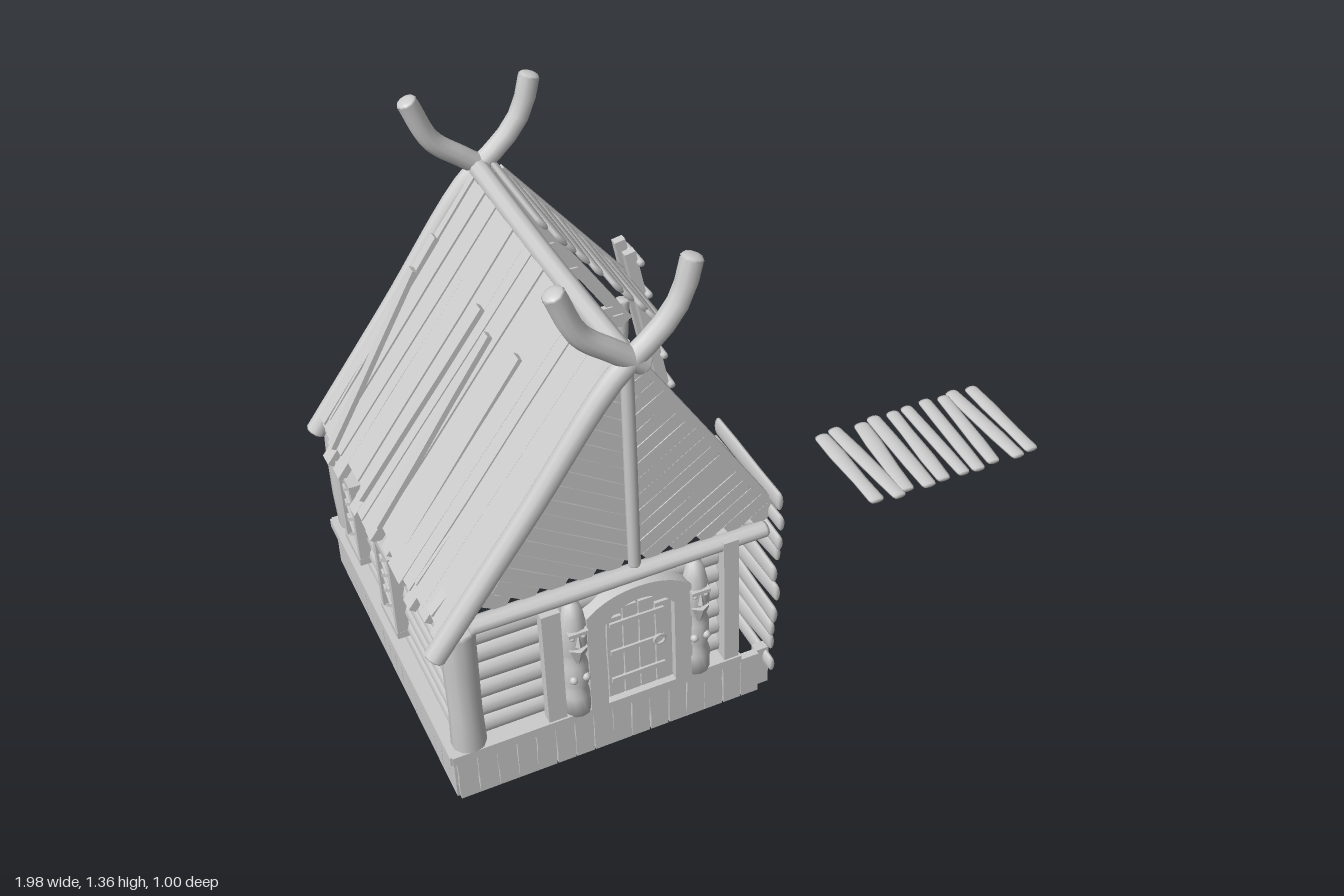
import * as THREE from 'three';

const CX = -0.465; // ridge line of the house

export function createModel() {
  const root = new THREE.Group();
  const smooth = new THREE.MeshStandardMaterial({ color: 0xcccccc });
  const flat = new THREE.MeshStandardMaterial({ color: 0xcccccc, flatShading: true });
  const V = (x, y, z) => new THREE.Vector3(x, y, z);
  let seed = 7;
  const rnd = () => ((seed = (seed * 16807) % 2147483647) / 2147483647);
  const jit = (a) => (rnd() - 0.5) * 2 * a;

  const group = (name) => {
    const g = new THREE.Group();
    g.name = name;
    root.add(g);
    return g;
  };
  const add = (g, name, geo, mat = flat) => {
    const m = new THREE.Mesh(geo, mat);
    m.name = name;
    g.add(m);
    return m;
  };
  // Lay a y-aligned mesh from a to b, its local z facing "out"
  const lay = (m, a, b, out) => {
    const y = b.clone().sub(a).normalize();
    const x = y.clone().cross(out).normalize();
    m.quaternion.setFromRotationMatrix(new THREE.Matrix4().makeBasis(x, y, x.clone().cross(y)));
    m.position.copy(a).add(b).multiplyScalar(0.5);
    return m;
  };
  // Sawn board with slightly uneven width
  const board = (g, name, a, b, w, t, out, wob = 0.08) => {
    const len = a.distanceTo(b);
    const geo = new THREE.BoxGeometry(w, len, t, 1, 3, 1);
    const p = geo.attributes.position;
    const k = [0, 1, 2, 3].map(() => [1 + jit(wob), 1 + jit(wob)]);
    for (let i = 0; i < p.count; i++) {
      const row = Math.round((p.getY(i) / len + 0.5) * 3);
      p.setX(i, p.getX(i) * k[row][p.getX(i) > 0 ? 0 : 1]);
    }
    return lay(add(g, name, geo), a, b, out);
  };
  // Rounded plank or log: elliptical section, gently swelling, softened ends
  const log = (g, name, a, b, w, t, out, wob = 0.06) => {
    const len = a.distanceTo(b);
    const pts = [new THREE.Vector2(0, -len / 2)];
    const e = Math.min(0.008, len / 8);
    pts.push(new THREE.Vector2(0.4, -len / 2), new THREE.Vector2(0.48, -len / 2 + e));
    for (const f of [-0.2, 0.2]) pts.push(new THREE.Vector2(0.5 * (1 + jit(wob)), len * f));
    pts.push(new THREE.Vector2(0.48, len / 2 - e), new THREE.Vector2(0.4, len / 2), new THREE.Vector2(0, len / 2));
    const m = lay(add(g, name, new THREE.LatheGeometry(pts, 10), smooth), a, b, out);
    m.scale.set(w, 1, t);
    return m;
  };
  const X = V(1, 0, 0), Y = V(0, 1, 0), Z = V(0, 0, 1);

  // Plank skirting around the foot of the house
  const skirt = group('skirting');
  const skirtRun = (a, b) => {
    const n = Math.round(a.distanceTo(b) / 0.05), step = b.clone().sub(a).divideScalar(n);
    const out = step.clone().cross(Y).normalize();
    for (let i = 0; i < n; i++) {
      const p = a.clone().addScaledVector(step, i + 0.5);
      board(skirt, 'skirtingBoard', p, p.clone().setY(0.125 + jit(0.006)), step.length() * 0.96, 0.02, out);
    }
  };
  skirtRun(V(-0.95, 0, 0.47), V(-0.15, 0, 0.47));
  skirtRun(V(-0.945, 0, -0.47), V(-0.945, 0, 0.47));
  skirtRun(V(-0.95, 0, -0.47), V(-0.6, 0, -0.47));
  for (const [x, z, h] of [[-0.1, -0.46, 0.1], [-0.065, -0.46, 0.18], [-0.13, 0.45, 0.12]])
    board(skirt, 'skirtingStump', V(x, 0, z), V(x, h, z), 0.035, 0.025, Z);

  // Sill beams and wall plates
  const frame = group('frame');
  board(frame, 'frontSill', V(-0.96, 0.135, 0.45), V(-0.2, 0.135, 0.45), 0.025, 0.07, Z, 0.03);
  board(frame, 'leftSill', V(-0.925, 0.135, -0.48), V(-0.925, 0.135, 0.48), 0.025, 0.08, X, 0.03);
  board(frame, 'backSill', V(-0.96, 0.135, -0.45), V(-0.6, 0.135, -0.45), 0.025, 0.07, Z, 0.03);
  board(frame, 'innerSill', V(-0.88, 0.18, -0.44), V(-0.88, 0.18, 0.44), 0.03, 0.02, X, 0.03);
  log(frame, 'frontPlate', V(-0.88, 0.515, 0.455), V(-0.12, 0.515, 0.455), 0.04, 0.05, Z);
  log(frame, 'backPlate', V(-0.9, 0.515, -0.455), V(-0.09, 0.515, -0.455), 0.045, 0.045, Z);
  log(frame, 'leftPlate', V(-0.9, 0.49, -0.46), V(-0.9, 0.49, 0.46), 0.05, 0.05, X);
  for (const z of [0.445, -0.445]) log(frame, 'cornerPost', V(-0.905, 0.14, z), V(-0.905, 0.51, z), 0.09, 0.09, Z, 0.12);
  board(frame, 'doorSidePost', V(-0.225, 0.14, 0.44), V(-0.225, 0.53, 0.44), 0.04, 0.08, Z, 0.03);
  board(frame, 'frontWallPost', V(-0.69, 0.14, 0.465), V(-0.69, 0.49, 0.465), 0.045, 0.03, Z);
  log(frame, 'backWallPost', V(-0.69, 0.13, -0.465), V(-0.69, 0.52, -0.465), 0.045, 0.04, Z);
  log(frame, 'backEndPost', V(-0.11, 0.37, -0.455), V(-0.09, 0.62, -0.455), 0.045, 0.04, Z);
  board(frame, 'backInnerPost', V(-0.29, 0.4, -0.43), V(-0.29, 0.72, -0.43), 0.04, 0.03, Z);

  // Log walls
  const walls = group('walls');
  for (let i = 0; i < 6; i++) {
    const y = 0.178 + i * 0.057;
    log(walls, 'frontLog', V(-0.9, y, 0.43), V(-0.24, y, 0.43), 0.06, 0.05, Z);
    log(walls, 'leftLog', V(-0.912, y, -0.43), V(-0.912, y, 0.43), 0.06, 0.05, X);
    log(walls, 'backLog', V(-0.9, y, -0.435), V(-0.68 + jit(0.02), y, -0.435), 0.06, 0.05, Z);
  }
  // Broken back boards left hanging
  for (const [x0, x1, y, w] of [[-0.67, -0.08, 0.475, 0.035], [-0.67, -0.12, 0.42, 0.03], [-0.64, -0.3, 0.36, 0.02],
    [-0.25, -0.08, 0.375, 0.02], [-0.58, -0.14, 0.285, 0.016], [-0.22, -0.15, 0.23, 0.012], [-0.67, -0.45, 0.22, 0.014]])
    board(walls, 'brokenBoard', V(x0, y, -0.44), V(x1, y + jit(0.012), -0.44), w, 0.014, Z, 0.4);

  // Lattice windows in the left wall
  for (const z of [-0.25, 0.05]) {
    const w = group('window');
    w.position.set(-0.94, 0.345, z);
    w.rotation.y = -Math.PI / 2;
    add(w, 'windowPanel', new THREE.BoxGeometry(0.1, 0.23, 0.012));
    add(w, 'windowInnerPanel', new THREE.BoxGeometry(0.105, 0.24, 0.012)).position.z = -0.06;
    for (const s of [-1, 1]) {
      board(w, 'windowJamb', V(s * 0.055, -0.13, 0.006), V(s * 0.055, 0.13, 0.006), 0.02, 0.03, Z);
      board(w, 'windowRail', V(-0.065, s * 0.12, 0.008), V(0.065, s * 0.12, 0.008), 0.02, 0.03, Z);
      for (let i = 0; i < 4; i++) {
        const y = -0.075 + i * 0.05;
        board(w, 'latticeBar', V(-0.045, y - s * 0.035, 0.012), V(0.045, y + s * 0.035, 0.012), 0.007, 0.008, Z);
      }
    }
  }

  // Arched door with straps, ring and carved pillars
  const door = group('door');
  const arch = (w, h, top) => {
    const s = new THREE.Shape();
    s.moveTo(-w, 0);
    s.lineTo(w, 0);
    s.lineTo(w, h);
    s.quadraticCurveTo(w * 0.6, top, 0, top);
    s.quadraticCurveTo(-w * 0.6, top, -w, h);
    return s;
  };
  const surround = arch(0.135, 0.3, 0.35);
  surround.holes.push(new THREE.Path(arch(0.09, 0.26, 0.31).getPoints(8)));
  const place = (m, z) => m.position.set(CX - 0.005, 0.145, z);
  place(add(door, 'doorFrame', new THREE.ExtrudeGeometry(surround, { depth: 0.04, bevelEnabled: false })), 0.445);
  place(add(door, 'doorLeaf', new THREE.ExtrudeGeometry(arch(0.09, 0.26, 0.31), { depth: 0.02, bevelEnabled: false })), 0.445);
  for (let i = 0; i < 4; i++) {
    const x = CX - 0.068 + i * 0.042, top = i % 3 ? 0.435 : 0.41;
    board(door, 'doorBoard', V(x, 0.155, 0.467), V(x, top, 0.467), 0.037, 0.012, Z);
  }
  for (const y of [0.21, 0.3, 0.39]) board(door, 'doorStrap', V(CX - 0.08, y, 0.475), V(CX + 0.06, y, 0.475), 0.014, 0.008, Z);
  add(door, 'doorRing', new THREE.TorusGeometry(0.014, 0.004, 6, 14), smooth).position.set(CX + 0.045, 0.3, 0.482);
  const prof = [[0, 0], [0.034, 0], [0.036, 0.06], [0.028, 0.08], [0.034, 0.1], [0.034, 0.16], [0.024, 0.18],
    [0.035, 0.2], [0.036, 0.27], [0.028, 0.31], [0.018, 0.345], [0, 0.352]].map((p) => new THREE.Vector2(...p));
  for (const x of [-0.632, -0.315]) {
    const p = group('carvedPillar');
    p.position.set(x, 0.145, 0.46);
    add(p, 'pillarBody', new THREE.LatheGeometry(prof, 12), smooth);
    add(p, 'pillarBrow', new THREE.BoxGeometry(0.05, 0.01, 0.02)).position.set(0, 0.275, 0.03);
    add(p, 'pillarNose', new THREE.ConeGeometry(0.009, 0.04, 4)).position.set(0, 0.255, 0.036);
    add(p, 'pillarBeard', new THREE.ConeGeometry(0.026, 0.07, 6).rotateX(Math.PI)).position.set(0, 0.19, 0.022);
    for (const s of [-1, 1]) {
      add(p, 'pillarEye', new THREE.SphereGeometry(0.007, 8, 6), smooth).position.set(s * 0.014, 0.262, 0.032);
      add(p, 'pillarHand', new THREE.SphereGeometry(0.011, 8, 6), smooth).position.set(s * 0.016, 0.125, 0.03);
    }
  }

  // Front gable: herringbone boards rising from a middle post
  const gable = group('frontGable');
  for (const s of [-1, 1]) {
    for (let y0 = 0.33; y0 < 1.08; y0 += 0.046) {
      const u0 = Math.max(0, (0.535 - y0) / 0.65), u1 = (1.13 - y0) / 2.2 + jit(0.006);
      if (u1 - u0 < 0.01) continue;
      board(gable, 'gableBoard', V(CX + s * u0, y0 + 0.65 * u0, 0.435), V(CX + s * u1, y0 + 0.65 * u1, 0.435), 0.037, 0.022, Z, 0.06);
    }
    board(gable, 'gableRakeBoard', V(CX + s * 0.02, 1.11, 0.43), V(CX + s * 0.375, 0.55, 0.43), 0.03, 0.03, Z);
  }
  log(gable, 'gableMiddlePost', V(CX, 0.53, 0.452), V(CX, 1.11, 0.452), 0.032, 0.03, Z);

  // Back gable: level boards with gaps on upright posts
  const back = group('backGable');
  for (let y = 0.565; y < 1.08; y += 0.047) {
    const u = (1.13 - y) / 1.5 - 0.01;
    const broken = y > 0.6 && rnd() > 0.6 ? 0.12 * rnd() : 0;
    board(back, 'backGableBoard', V(CX - u, y, -0.435), V(CX + u - broken, y + jit(0.01), -0.435), 0.04, 0.016, Z, 0.2);
  }
  for (const [x, y0, y1] of [[CX, 0.5, 1.12], [-0.66, 0.53, 0.82], [-0.27, 0.53, 0.82]])
    log(back, 'backGablePost', V(x, y0, -0.46), V(x, y1, -0.46), 0.036, 0.03, Z);
  board(back, 'backRakeBoard', V(CX + 0.02, 1.11, -0.45), V(-0.085, 0.56, -0.45), 0.035, 0.035, Z);

  // Left roof slope: long boards laid in two uneven layers, with battens and a ridge log
  const roof = group('roof');
  const roofOut = V(-0.79, 0.61, 0);
  for (let i = 0; i < 24; i++) {
    const z = -0.44 + i * 0.0383, low = jit(0.02);
    board(roof, 'roofBoard', V(-0.955 + low, 0.49 + low * 1.3, z + jit(0.006)), V(-0.475, 1.12, z), 0.042, 0.016 + rnd() * 0.014, roofOut, 0.12);
    if (i % 3 === 0) board(roof, 'roofOverlay', V(-0.945 + low, 0.525, z + 0.02), V(-0.6 + jit(0.1), 0.98, z + 0.02 + jit(0.01)), 0.03, 0.014, roofOut, 0.15);
  }
  for (const u of [0.15, 0.3]) log(roof, 'roofBatten', V(CX - u, 1.11 - u * 1.31, -0.44), V(CX - u, 1.11 - u * 1.31, 0.44), 0.03, 0.025, roofOut);
  const tube = (name, pts, r) => {
    const c = new THREE.CatmullRomCurve3(pts);
    add(roof, name, new THREE.TubeGeometry(c, 20, r, 10), smooth);
    [0, 1].forEach((t) => {
      const cap = add(roof, name + 'End', new THREE.SphereGeometry(r, 10, 6), smooth);
      cap.scale.y = 0.4;
      cap.position.copy(c.getPoint(t));
      cap.quaternion.setFromUnitVectors(Y, c.getTangent(t));
    });
  };
  tube('ridgeLog', [V(CX, 1.13, -0.45), V(CX, 1.122, 0), V(CX, 1.13, 0.45)], 0.026);
  // Rake logs crossing at the ridge into curved horns
  for (const z of [0.462, -0.465]) {
    tube('rakeLog', [V(-0.965, 0.465, z), V(-0.72, 0.79, z), V(-0.5, 1.09, z), V(-0.385, 1.19, z), V(-0.335, 1.26, z), V(-0.31, 1.345, z)], 0.027);
    tube('horn', [V(-0.43, 1.11, z), V(-0.5, 1.165, z), V(-0.575, 1.23, z), V(-0.625, 1.345, z)], 0.027);
  }

  // Loose panels of rounded planks: on the right slope, leaning in front, and on the ground
  const panel = (name, a, b, across, len, n, w, cross) => {
    const g = group(name);
    const out = b.clone().sub(a).cross(across).normalize();
    for (let i = 0; i < n; i++) {
      const c = a.clone().lerp(b, i / (n - 1));
      const tilt = b.clone().sub(a).normalize().multiplyScalar(i % (n - 1) ? jit(0.018) : 0);
      const half = across.clone().multiplyScalar(len / 2 + jit(0.012)).add(tilt);
      log(g, 'panelPlank', c.clone().sub(half), c.clone().add(half), w * (1 + jit(0.12)), 0.018, out, 0.1);
    }
    for (const s of cross) {
      const o = across.clone().multiplyScalar(s).addScaledVector(out, -0.01);
      board(g, 'panelBatten', a.clone().add(o), b.clone().add(o), 0.02, 0.008, out);
    }
  };
  panel('roofPanel', V(-0.42, 1.125, -0.3), V(-0.1, 0.725, -0.3), Z, 0.34, 10, 0.05, [-0.13]);
  panel('leaningPanel', V(-0.1, 0.61, 0.32), V(-0.12, 0.09, 0.32), Z, 0.34, 10, 0.05, []);
  panel('groundPanel', V(0.455, 0.07, -0.12), V(0.975, 0.07, -0.12), Z, 0.34, 10, 0.046, []);

  // Ladder leaning at the back right
  const ladder = group('ladder');
  const foot = V(0.045, 0.075, 0), head = V(-0.095, 0.815, 0), face = V(0.98, 0.19, 0);
  for (const z of [-0.385, -0.452])
    board(ladder, 'ladderRail', foot.clone().setZ(z), head.clone().setZ(z), 0.024, 0.032, face);
  for (let i = 0; i < 7; i++) {
    const p = foot.clone().lerp(head, 0.08 + i * 0.145).addScaledVector(face, 0.02);
    log(ladder, 'ladderRung', p.clone().setZ(-0.36), p.clone().setZ(-0.475).add(V(0, jit(0.008), 0)), 0.022, 0.022, face);
  }
  return root;
}
